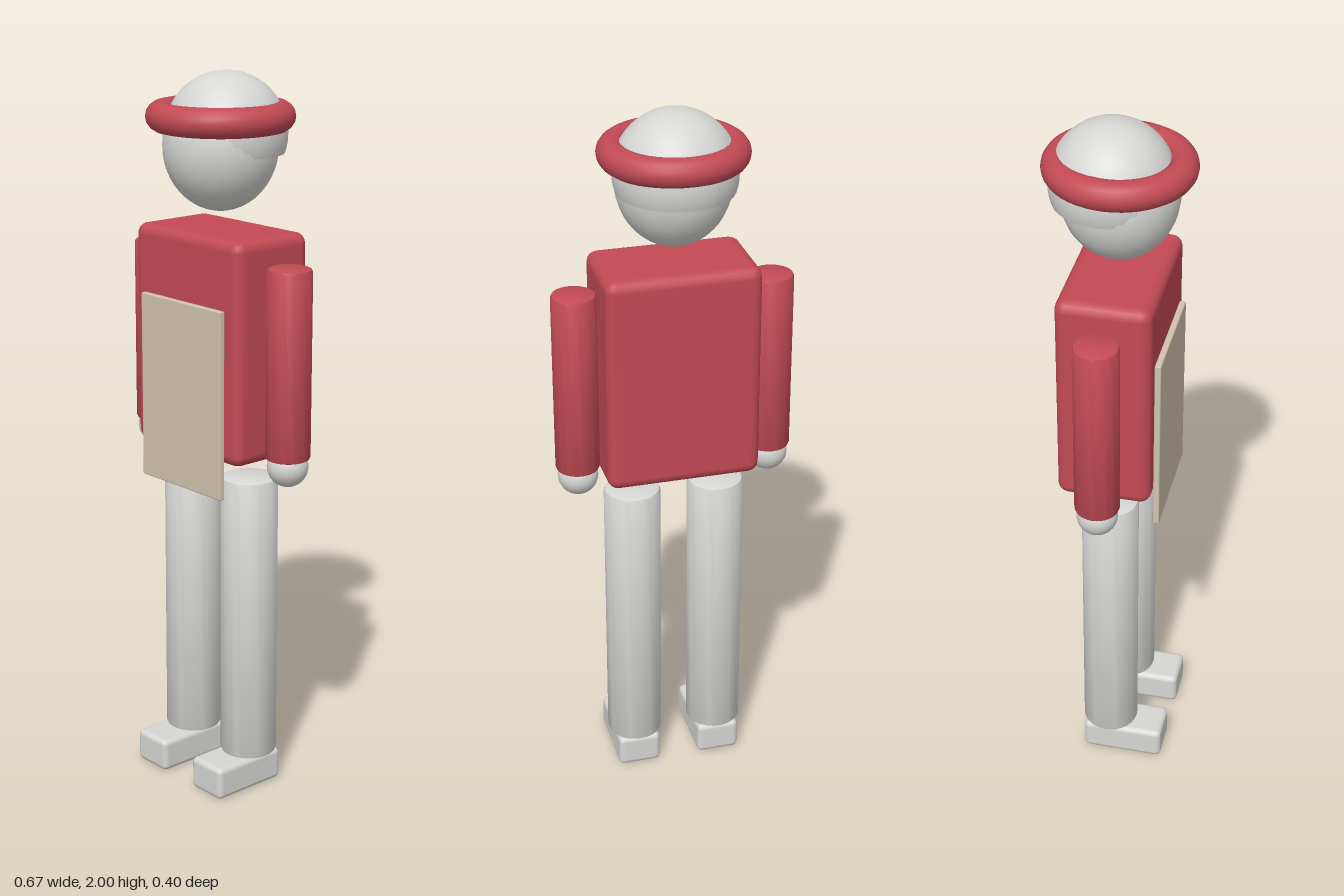
import * as THREE from 'three';
import { toCreasedNormals } from 'three/addons/utils/BufferGeometryUtils.js';
import { RoundedBoxGeometry } from 'three/addons/geometries/RoundedBoxGeometry.js';

const red = new THREE.MeshStandardMaterial({ color: 0xc24a55 });
red.name = 'red cloth';
const grey = new THREE.MeshStandardMaterial({ color: 0xd6d6d4, side: THREE.DoubleSide });
grey.name = 'light grey';
const beige = new THREE.MeshStandardMaterial({ color: 0xd0c4ad });
beige.name = 'beige apron';

// Upright cylinder with a small bevel on both rims
function bevelledCylinder(radius, height, bevel) {
  const h = height / 2;
  const profile = [
    [0, -h], [radius - bevel, -h], [radius - bevel * 0.3, -h + bevel * 0.3], [radius, -h + bevel],
    [radius, h - bevel], [radius - bevel * 0.3, h - bevel * 0.3], [radius - bevel, h], [0, h],
  ].map(([x, y]) => new THREE.Vector2(x, y));
  return toCreasedNormals(new THREE.LatheGeometry(profile, 32), 0.6);
}

export function createModel() {
  const model = new THREE.Group();
  model.name = 'figure';

  function add(name, geometry, material, x, y, z) {
    const mesh = new THREE.Mesh(geometry, material);
    mesh.name = name;
    mesh.position.set(x, y, z);
    model.add(mesh);
    return mesh;
  }

  // Body and apron
  add('torso', new RoundedBoxGeometry(0.425, 0.61, 0.257, 2, 0.03), red, 0, 1.28, 0);
  add('apron', new RoundedBoxGeometry(0.326, 0.52, 0.018, 1, 0.004), beige, 0, 1.14, 0.137);

  // Head, hair cap and hat brim
  add('head', new THREE.SphereGeometry(1, 32, 24), grey, 0, 1.805, 0).scale.set(0.155, 0.175, 0.156);
  add('hair', new THREE.SphereGeometry(0.165, 32, 16, 0, Math.PI * 2, 0, Math.PI * 0.6), grey, 0, 1.835, -0.02);
  add('hatBrim', new THREE.TorusGeometry(0.16, 0.04, 16, 48).rotateX(Math.PI / 2), red, 0, 1.882, 0);

  // Limbs, mirrored
  for (const [side, s] of [['left', 1], ['right', -1]]) {
    add(side + 'Arm', bevelledCylinder(0.061, 0.52, 0.01), red, s * 0.272, 1.255, 0);
    add(side + 'Hand', new THREE.SphereGeometry(0.056, 24, 16), grey, s * 0.272, 0.975, 0);
    add(side + 'Leg', bevelledCylinder(0.079, 0.82, 0.01), grey, s * 0.12, 0.502, 0);
    add(side + 'Foot', new RoundedBoxGeometry(0.124, 0.094, 0.232, 2, 0.016), grey, s * 0.12, 0.047, 0.047);
  }
  return model;
}
